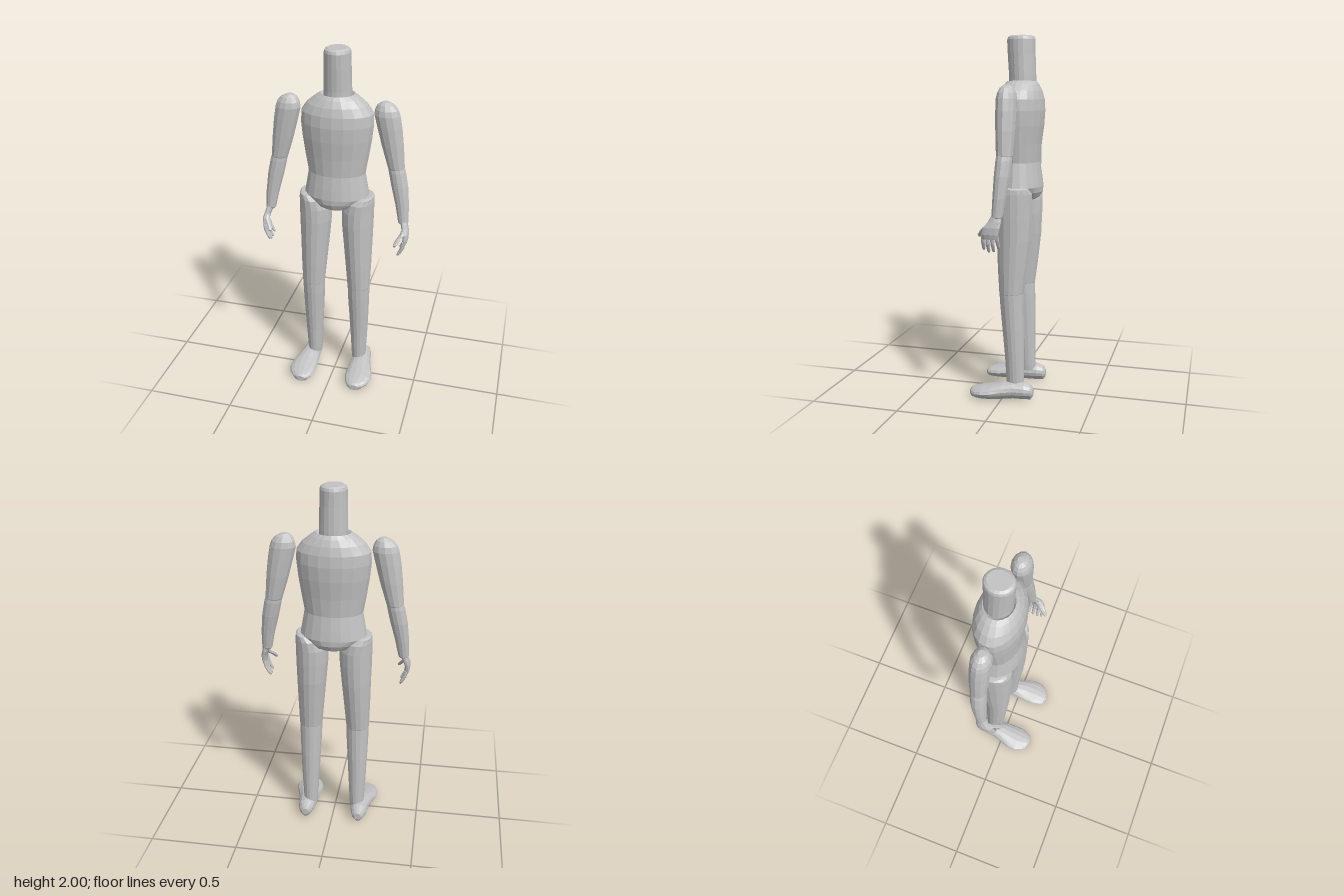
import * as THREE from 'three';

const skin = new THREE.MeshStandardMaterial({ color: 0xc2c2c2 });
skin.name = 'plain grey';

// Closed faceted solid through elliptical rings [x, y, z, radiusX, radiusZ], listed from low y to high y.
function loft(rings, sides) {
  const pos = [], index = [];
  for (const [x, y, z, rx, rz] of rings) {
    for (let j = 0; j < sides; j++) {
      const a = (j / sides) * Math.PI * 2;
      pos.push(x + rx * Math.cos(a), y, z + rz * Math.sin(a));
    }
  }
  const last = rings.length - 1, low = rings.length * sides, high = low + 1;
  pos.push(...rings[0].slice(0, 3), ...rings[last].slice(0, 3));
  for (let j = 0; j < sides; j++) {
    const k = (j + 1) % sides;
    for (let i = 0; i < last; i++) {
      const a = i * sides + j, b = i * sides + k, c = a + sides, d = b + sides;
      index.push(a, c, b, b, c, d);
    }
    index.push(low, j, k, high, last * sides + k, last * sides + j);
  }
  const g = new THREE.BufferGeometry();
  g.setAttribute('position', new THREE.Float32BufferAttribute(pos, 3));
  g.setIndex(index);
  const flat = g.toNonIndexed();
  flat.computeVertexNormals();
  return flat;
}

function part(name, rings, sides, side = 1) {
  const mirrored = rings.map(([x, ...rest]) => [x * side, ...rest]);
  const mesh = new THREE.Mesh(loft(mirrored, sides), skin);
  mesh.name = name;
  return mesh;
}

function makeHand(side) {
  const hand = new THREE.Group();
  hand.name = 'hand';
  hand.add(part('palm', [
    [0.402, 0.950, 0.002, 0.012, 0.042],
    [0.407, 0.975, 0.000, 0.014, 0.047],
    [0.405, 1.010, -0.008, 0.017, 0.046],
    [0.395, 1.040, -0.022, 0.020, 0.036],
    [0.385, 1.075, -0.030, 0.021, 0.026],
  ], 10, side));
  // Four fingers, slightly curled towards the body
  const tips = [0.895, 0.878, 0.876, 0.888];
  tips.forEach((tip, i) => {
    const z = -0.034 + i * 0.024;
    hand.add(part('finger', [
      [0.372, tip, z * 1.1, 0.004, 0.005],
      [0.376, tip + 0.010, z * 1.1, 0.009, 0.009],
      [0.394, tip + 0.045, z * 1.05, 0.010, 0.011],
      [0.402, 0.970, z, 0.011, 0.012],
    ], 8, side));
  });
  // Thumb points forwards and inwards
  hand.add(part('thumb', [
    [0.356, 0.955, 0.070, 0.007, 0.006],
    [0.360, 0.966, 0.067, 0.012, 0.013],
    [0.372, 0.988, 0.048, 0.013, 0.016],
    [0.390, 1.010, 0.022, 0.014, 0.020],
    [0.394, 1.030, 0.000, 0.012, 0.020],
  ], 8, side));
  return hand;
}

function makeArm(side) {
  const arm = new THREE.Group();
  arm.name = side > 0 ? 'leftArm' : 'rightArm';
  arm.add(part('upperArm', [
    [0.330, 1.350, -0.056, 0.036, 0.034],
    [0.328, 1.375, -0.056, 0.047, 0.044],
    [0.304, 1.500, -0.055, 0.061, 0.052],
    [0.285, 1.600, -0.053, 0.068, 0.055],
    [0.271, 1.665, -0.052, 0.070, 0.055],
    [0.268, 1.695, -0.052, 0.062, 0.049],
    [0.264, 1.720, -0.052, 0.045, 0.036],
    [0.260, 1.735, -0.052, 0.020, 0.018],
  ], 12, side));
  arm.add(part('forearm', [
    [0.383, 1.055, -0.031, 0.022, 0.022],
    [0.383, 1.064, -0.032, 0.029, 0.030],
    [0.372, 1.160, -0.041, 0.038, 0.036],
    [0.352, 1.270, -0.050, 0.047, 0.043],
    [0.335, 1.350, -0.055, 0.048, 0.044],
    [0.330, 1.372, -0.056, 0.046, 0.042],
    [0.326, 1.395, -0.056, 0.030, 0.028],
  ], 12, side));
  arm.add(makeHand(side));
  return arm;
}

function makeFoot(side) {
  // Rings run from heel to toe as [x, z, -y, half width, half height], then turn to lie along z
  const foot = part('foot', [
    [0.158, -0.172, -0.045, 0.020, 0.022],
    [0.158, -0.160, -0.050, 0.036, 0.036],
    [0.158, -0.125, -0.054, 0.048, 0.045],
    [0.158, -0.060, -0.055, 0.056, 0.047],
    [0.164, 0.000, -0.050, 0.066, 0.043],
    [0.172, 0.060, -0.042, 0.078, 0.036],
    [0.174, 0.110, -0.036, 0.080, 0.031],
    [0.171, 0.150, -0.031, 0.067, 0.026],
    [0.167, 0.175, -0.028, 0.048, 0.022],
    [0.165, 0.188, -0.027, 0.025, 0.013],
  ], 14, side);
  foot.geometry.rotateX(Math.PI / 2);
  // Flatten the sole
  const p = foot.geometry.attributes.position;
  for (let i = 0; i < p.count; i++) {
    const y = p.getY(i);
    if (y < 0.018) p.setY(i, Math.max(0, (y - 0.002) * 0.5));
  }
  foot.geometry.computeVertexNormals();
  return foot;
}

function makeLeg(side) {
  const leg = new THREE.Group();
  leg.name = side > 0 ? 'leftLeg' : 'rightLeg';
  leg.add(part('thigh', [
    [0.137, 0.580, -0.043, 0.055, 0.056],
    [0.136, 0.605, -0.042, 0.066, 0.068],
    [0.132, 0.740, -0.047, 0.074, 0.082],
    [0.126, 0.900, -0.053, 0.083, 0.095],
    [0.122, 1.020, -0.054, 0.090, 0.100],
    [0.122, 1.100, -0.055, 0.091, 0.101],
    [0.132, 1.155, -0.055, 0.081, 0.099],
    [0.155, 1.183, -0.055, 0.055, 0.085],
    [0.165, 1.190, -0.055, 0.036, 0.060],
  ], 16, side));
  leg.add(part('shin', [
    [0.139, 0.070, -0.066, 0.040, 0.048],
    [0.139, 0.100, -0.065, 0.043, 0.050],
    [0.139, 0.250, -0.060, 0.051, 0.054],
    [0.138, 0.400, -0.053, 0.058, 0.061],
    [0.136, 0.540, -0.045, 0.064, 0.066],
    [0.136, 0.605, -0.042, 0.065, 0.067],
    [0.136, 0.630, -0.042, 0.050, 0.052],
  ], 16, side));
  leg.add(makeFoot(side));
  return leg;
}

export function createModel() {
  const model = new THREE.Group();
  model.name = 'mannequin';
  // Torso with a narrowing pelvis and a small recess around the neck
  model.add(part('torso', [
    [0, 1.113, -0.055, 0.085, 0.085],
    [0, 1.126, -0.057, 0.115, 0.108],
    [0, 1.155, -0.058, 0.152, 0.122],
    [0, 1.185, -0.058, 0.184, 0.124],
    [0, 1.240, -0.057, 0.174, 0.118],
    [0, 1.320, -0.056, 0.160, 0.107],
    [0, 1.420, -0.057, 0.177, 0.113],
    [0, 1.520, -0.059, 0.192, 0.124],
    [0, 1.600, -0.060, 0.200, 0.128],
    [0, 1.660, -0.061, 0.197, 0.123],
    [0, 1.705, -0.062, 0.165, 0.111],
    [0, 1.740, -0.064, 0.122, 0.094],
    [0, 1.758, -0.065, 0.093, 0.080],
    [0, 1.738, -0.065, 0.068, 0.066],
  ], 20));
  model.add(part('neck', [
    [0, 1.700, -0.068, 0.077, 0.075],
    [0, 1.780, -0.068, 0.076, 0.074],
    [0, 1.900, -0.062, 0.073, 0.076],
    [0, 1.978, -0.060, 0.071, 0.078],
    [0, 1.992, -0.060, 0.066, 0.073],
    [0, 2.000, -0.060, 0.052, 0.060],
  ], 18));
  for (const side of [1, -1]) model.add(makeArm(side), makeLeg(side));
  return model;
}
